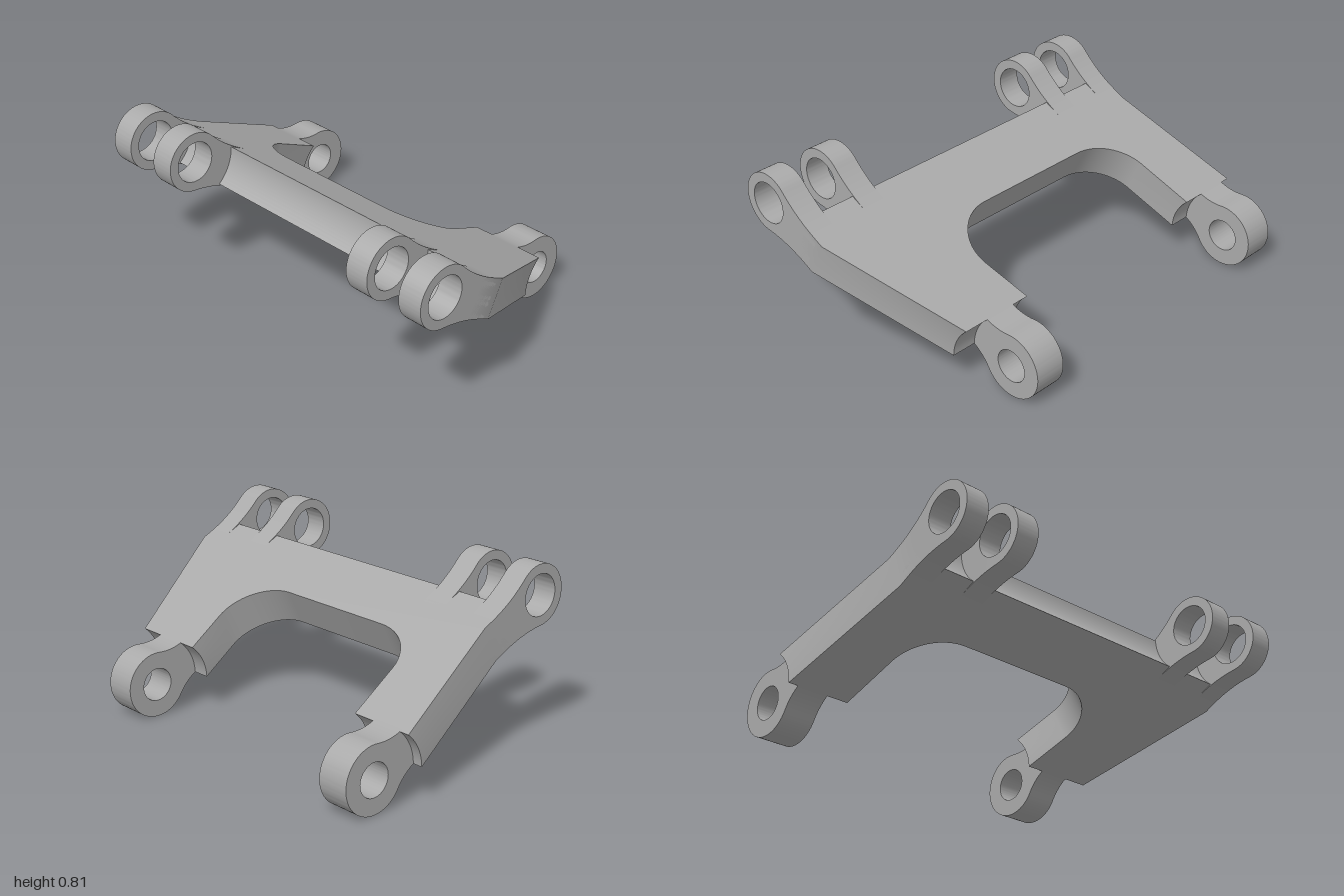
import * as THREE from 'three';
import { toCreasedNormals } from 'three/addons/utils/BufferGeometryUtils.js';

const TILT = 0.4616;       // slope of the arm
const H = 0.089;           // half thickness of the plate
const PIN_LEFT = -0.592, PIN_RIGHT = 0.575;
const END_LEFT = -0.404, END_RIGHT = 0.378;

// Plate outline seen from above, extruded through its thickness
function plateGeometry() {
  const s = new THREE.Shape();
  s.moveTo(END_LEFT, -1);
  s.lineTo(-0.257, -1);
  s.lineTo(END_RIGHT, -0.735);
  s.lineTo(END_RIGHT, -0.375);
  s.lineTo(0.16, -0.42);
  s.bezierCurveTo(0.02, -0.45, -0.1, -0.33, -0.1, -0.2);
  s.lineTo(-0.1, 0.4);
  s.bezierCurveTo(-0.1, 0.54, 0, 0.64, 0.1, 0.655);
  s.lineTo(END_RIGHT, 0.695);
  s.lineTo(END_RIGHT, 1);
  s.lineTo(-0.25, 0.875);
  s.lineTo(END_LEFT, 0.875);
  s.closePath();
  const g = new THREE.ExtrudeGeometry(s, { depth: 2 * H, steps: 12, curveSegments: 20, bevelEnabled: false });
  g.translate(0, 0, -H);
  g.rotateX(-Math.PI / 2);

  // Hollow both ends into arcs concentric with the pins
  const p = g.attributes.position;
  for (let i = 0; i < p.count; i++) {
    const x = p.getX(i), y = p.getY(i);
    for (const [end, pin] of [[END_LEFT, PIN_LEFT], [END_RIGHT, PIN_RIGHT]]) {
      if (Math.abs(x - end) > 1e-4) continue;
      const r = Math.hypot(end - pin, H);
      p.setX(i, pin + Math.sign(end - pin) * Math.sqrt(r * r - y * y));
    }
  }
  return toCreasedNormals(g, 0.5);
}

// Eye with a pin hole, blended into the plate by two fillets ending at distance d
function lugGeometry(R, hole, d, width) {
  const r = (d * d + H * H - R * R) / (2 * (R - H));
  const t = Math.atan2(H + r, d);
  const s = new THREE.Shape();
  s.moveTo(d + 0.02, -H);
  s.lineTo(d + 0.02, H);
  s.absarc(d, H + r, r, -Math.PI / 2, t - Math.PI, true);
  s.absarc(0, 0, R, t, 2 * Math.PI - t, false);
  s.absarc(d, -H - r, r, Math.PI - t, Math.PI / 2, true);
  s.closePath();
  s.holes.push(new THREE.Path().absarc(0, 0, hole, 0, Math.PI * 2, true));
  const g = new THREE.ExtrudeGeometry(s, { depth: width, curveSegments: 40, bevelEnabled: false });
  return toCreasedNormals(g, 0.5);
}

export function createModel() {
  const model = new THREE.Group();
  model.name = 'controlArm';
  const metal = new THREE.MeshStandardMaterial({ color: 0xaaaaaa });
  metal.name = 'grey metal';

  const arm = new THREE.Group();
  arm.name = 'tiltedArm';
  arm.rotation.z = -TILT;
  arm.position.y = 0.411;
  model.add(arm);

  const add = (name, geometry, x = 0, z = 0) => {
    const mesh = new THREE.Mesh(geometry, metal);
    mesh.name = name;
    mesh.position.set(x, 0, z);
    arm.add(mesh);
  };

  add('plate', plateGeometry());

  // Two pairs of clevis lugs on the upper end
  const clevis = lugGeometry(0.139, 0.095, 0.28, 0.115);
  [0.885, 0.6, -0.6, -0.875].forEach((z, i) => add('clevisLug' + (i + 1), clevis, PIN_LEFT, z));

  // One wider eye on each leg
  const eye = lugGeometry(0.152, 0.076, 0.215, 0.153);
  eye.rotateZ(Math.PI);
  [0.461, -0.953].forEach((z, i) => add('legEye' + (i + 1), eye, PIN_RIGHT, z));

  return model;
}
